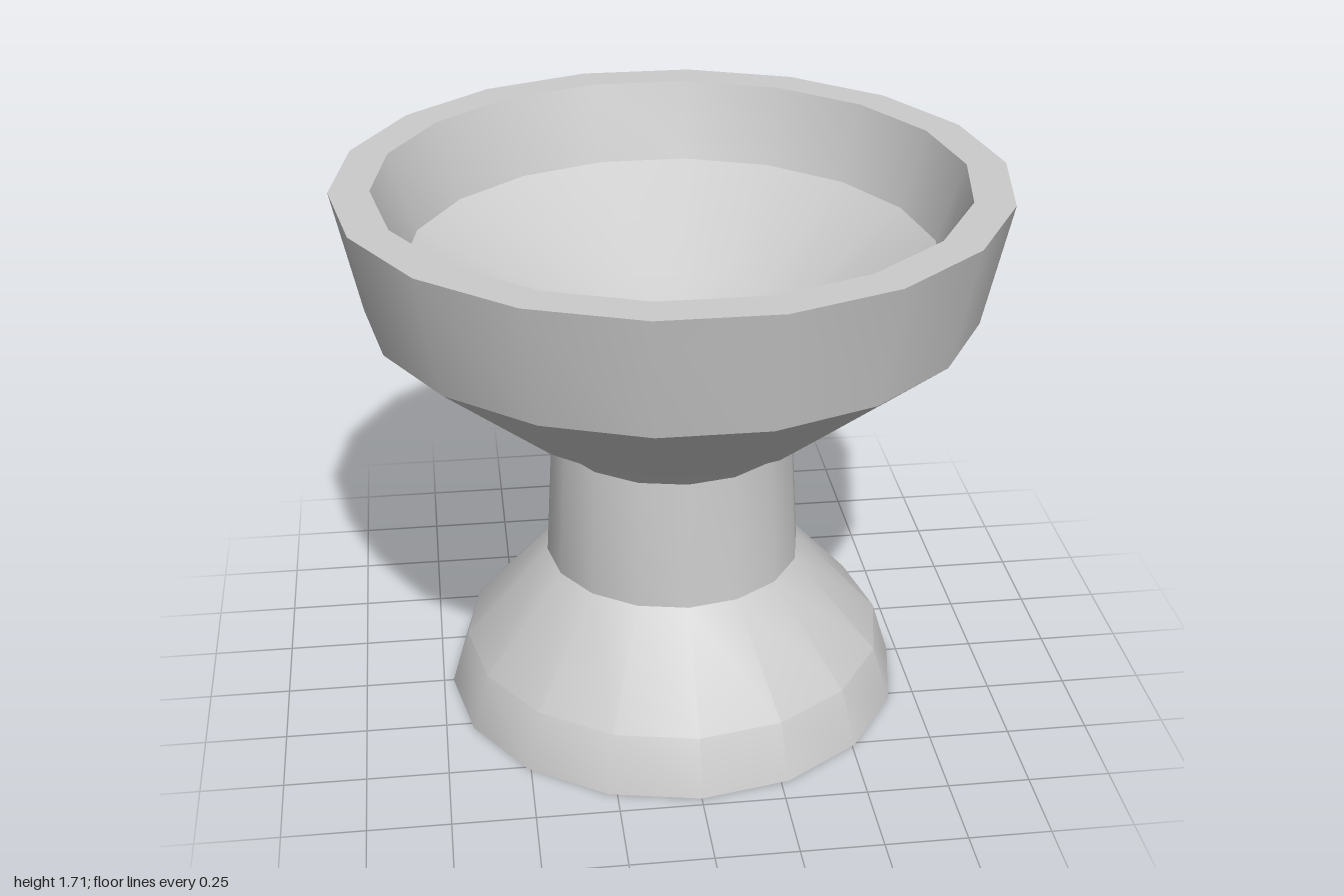
import * as THREE from 'three';
import { toCreasedNormals } from 'three/addons/utils/BufferGeometryUtils.js';

const material = new THREE.MeshStandardMaterial({ color: 0xcccccc });

// Turned solid from [radius, height] pairs, with a corner on the x axis and sharp rings
function turned(name, sides, profile) {
  const points = profile.map(([r, y]) => new THREE.Vector2(r, y));
  const lathe = new THREE.LatheGeometry(points, sides, Math.PI / 2);
  const mesh = new THREE.Mesh(toCreasedNormals(lathe, Math.PI / 6), material);
  mesh.name = name;
  return mesh;
}

export function createModel() {
  const group = new THREE.Group();
  group.name = 'pedestalBowl';

  // Flared foot, waist and the collar spreading under the bowl
  group.add(turned('pedestal', 16, [
    [0, 0], [0.72, 0], [0.665, 0.18], [0.4, 0.475],
    [0.377, 0.89], [0.49, 0.995], [0, 0.995],
  ]));

  // Bowl: underside, outer wall, flat rim, inner wall and dished floor
  group.add(turned('bowl', 18, [
    [0, 0.995], [0.52, 0.995], [0.92, 1.335], [1, 1.71],
    [0.88, 1.71], [0.8, 1.47], [0.42, 1.23], [0, 1.06],
  ]));

  return group;
}
